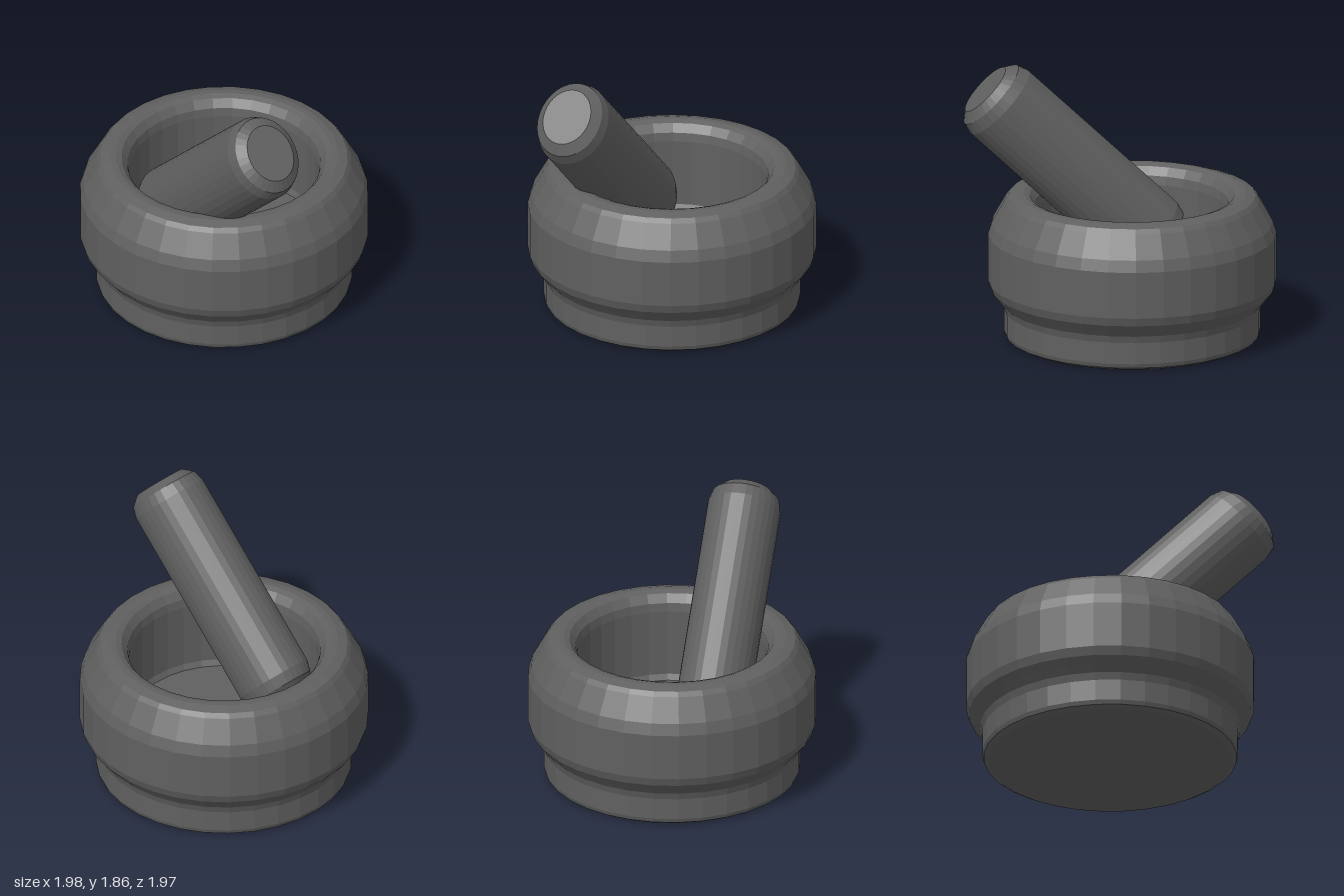
import * as THREE from 'three';

const stone = new THREE.MeshStandardMaterial({ color: 0x606060, flatShading: true });

// Solid of revolution from [radius, height] pairs, listed bottom to top
function turned(name, profile, sides) {
  const points = profile.map(([r, y]) => new THREE.Vector2(r, y));
  const mesh = new THREE.Mesh(new THREE.LatheGeometry(points, sides), stone);
  mesh.name = name;
  return mesh;
}

export function createModel() {
  const group = new THREE.Group();
  group.name = 'mortarAndPestle';

  // Mortar: stepped foot, bulging body, rounded rim, hollow with a flat floor
  const mortar = turned('mortar', [
    [0, 0], [0.83, 0], [0.865, 0.02], [0.875, 0.05], [0.875, 0.2], [0.89, 0.25],
    [0.925, 0.295], [0.965, 0.345], [0.985, 0.405], [0.985, 0.73], [0.96, 0.81],
    [0.87, 0.97], [0.845, 1.0], [0.78, 1.02], [0.74, 1.02], [0.7, 1.005],
    [0.66, 0.95], [0.65, 0.89], [0.65, 0.42], [0.63, 0.38], [0, 0.38],
  ], 32);
  mortar.position.x = -0.015;
  group.add(mortar);

  // Pestle: leaning rod of slightly oval section with the same bevel at both ends
  const low = new THREE.Vector3(-0.25, 0.63, 0.267);
  const high = new THREE.Vector3(0.74, 1.61, 0.53);
  const length = low.distanceTo(high);
  const bevel = [[0, 0.135], [0.68, 0.135], [0.92, 0.08]];
  const pestle = turned('pestle', [
    ...bevel.map(([r, h]) => [r, -h]), [1, 0],
    [1, length], ...bevel.map(([r, h]) => [r, length + h]).reverse(),
  ], 32);
  pestle.geometry.scale(0.25, 1, 0.293);

  // The narrow width stays level, the wide one stands in the plane of the lean
  const along = high.clone().sub(low).normalize();
  const level = new THREE.Vector3(-along.z, 0, along.x).normalize();
  const across = level.clone().cross(along);
  pestle.quaternion.setFromRotationMatrix(new THREE.Matrix4().makeBasis(level, along, across));
  pestle.position.copy(low);
  group.add(pestle);

  return group;
}
